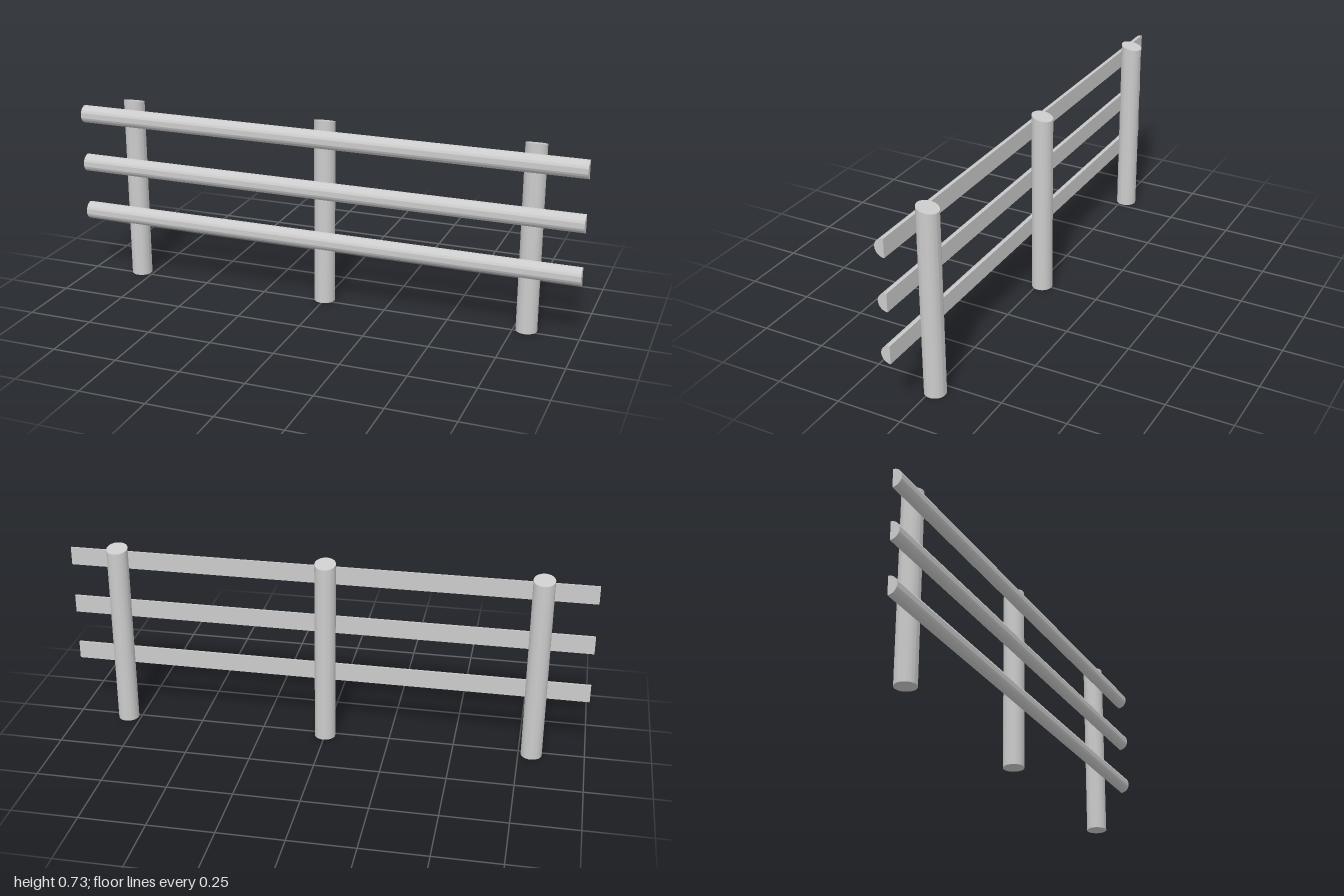
import * as THREE from 'three';
import { toCreasedNormals } from 'three/addons/utils/BufferGeometryUtils.js';

const POST_RADIUS = 0.04, POST_Z = -0.017;
const POST_MID = 0.724, TOP_SLOPE = 0.225;
const RAIL_RADIUS = 0.035, RAIL_LENGTH = 2;

// Round post with its top cut at a slant, higher towards the front
function postGeometry() {
  const geo = new THREE.CylinderGeometry(POST_RADIUS, POST_RADIUS, POST_MID, 40);
  geo.translate(0, POST_MID / 2, 0);
  const pos = geo.attributes.position;
  for (let i = 0; i < pos.count; i++) {
    if (pos.getY(i) > POST_MID / 2) pos.setY(i, POST_MID + TOP_SLOPE * pos.getZ(i));
  }
  return toCreasedNormals(geo, 0.6);
}

// Half-round rail along x, flat face at the back
function railGeometry() {
  const half = new THREE.Shape();
  half.absarc(0, 0, RAIL_RADIUS, Math.PI / 2, Math.PI * 1.5, false);
  const geo = new THREE.ExtrudeGeometry(half, { depth: RAIL_LENGTH, bevelEnabled: false, curveSegments: 24 });
  geo.translate(0, 0, -RAIL_LENGTH / 2);
  geo.rotateY(Math.PI / 2);
  return toCreasedNormals(geo, 0.6);
}

export function createModel() {
  const fence = new THREE.Group();
  fence.name = 'fence';
  const material = new THREE.MeshStandardMaterial({ color: 0xcccccc });

  const add = (name, geometry, x, y, z) => {
    const mesh = new THREE.Mesh(geometry, material);
    mesh.name = name;
    mesh.position.set(x, y, z);
    fence.add(mesh);
  };

  // Three posts
  const post = postGeometry();
  [['rightPost', -0.8], ['middlePost', 0], ['leftPost', 0.8]]
    .forEach(([name, x]) => add(name, post, x, 0, POST_Z));

  // Three rails fixed to the front of the posts
  const rail = railGeometry();
  [['bottomRail', 0.26], ['middleRail', 0.461], ['topRail', 0.662]]
    .forEach(([name, y]) => add(name, rail, 0, y, POST_Z + POST_RADIUS));

  return fence;
}
